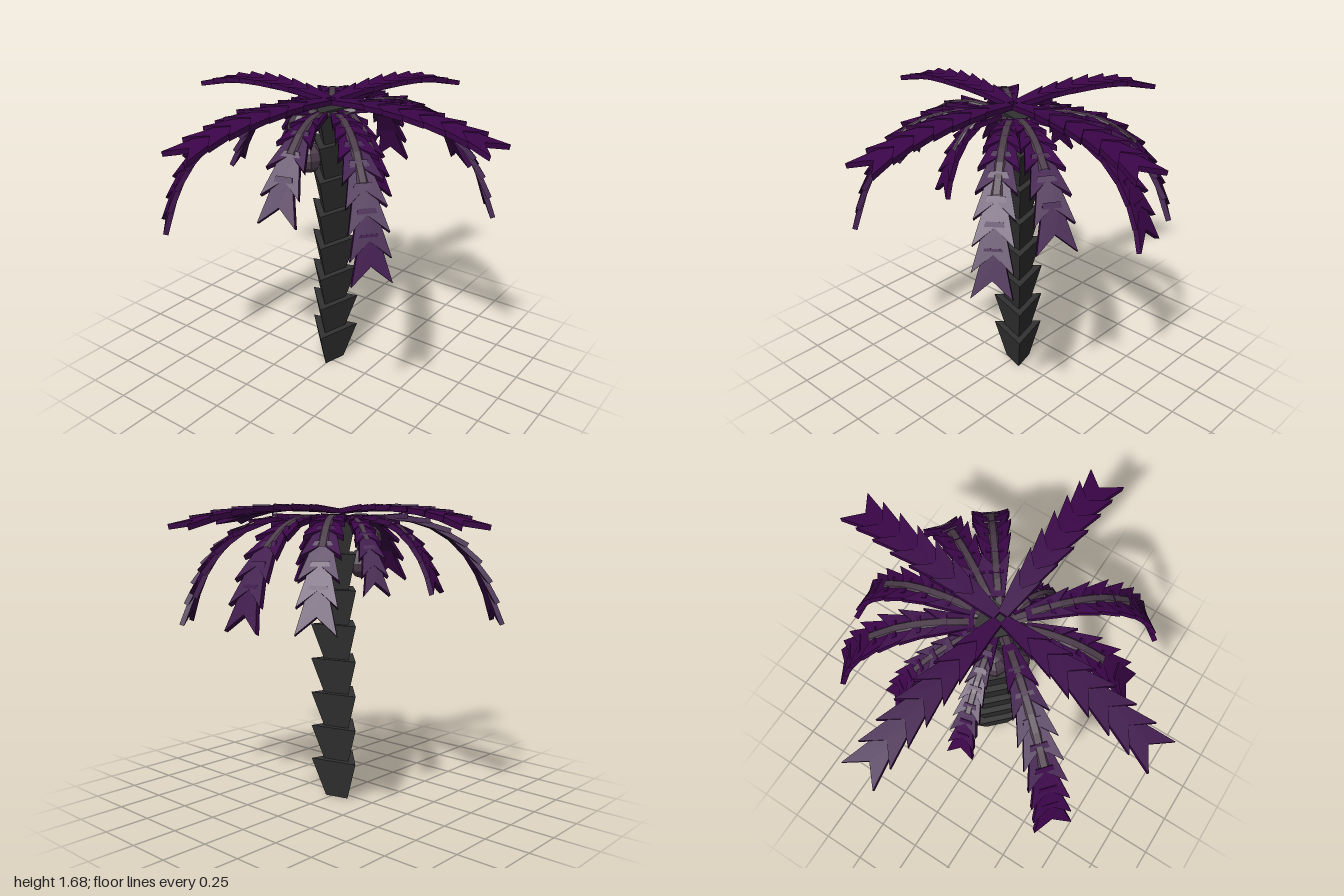
import * as THREE from 'three';

const leafMat = new THREE.MeshStandardMaterial({ color: 0x3b0549 });
leafMat.name = 'purple leaf';
const barkMat = new THREE.MeshStandardMaterial({ color: 0x323232 });
barkMat.name = 'dark bark';
const nutMat = new THREE.MeshStandardMaterial({ color: 0x4c3c4b });
nutMat.name = 'dusky husk';
barkMat.flatShading = nutMat.flatShading = true;

// One leaf plate: narrow at the base, flaring to a swallow-tail tip (along +y)
function leafGeometry(length, halfWidth, thickness) {
  const s = new THREE.Shape();
  s.moveTo(-halfWidth * 0.42, 0);
  s.lineTo(halfWidth * 0.42, 0);
  s.lineTo(halfWidth, length);
  s.lineTo(0, length * 0.63);
  s.lineTo(-halfWidth, length);
  s.closePath();
  const g = new THREE.ExtrudeGeometry(s, { depth: thickness, bevelEnabled: false });
  return g.translate(0, 0, -thickness);
}

// A frond: shingled leaf plates along an arching curve in the x-y plane, turned to its heading
function makeFrond(name, tipX, tipZ, points, leafLength, halfWidth, spacing, start) {
  const frond = new THREE.Group();
  frond.name = name;
  const curve = new THREE.CubicBezierCurve3(...points.map(([x, y]) => new THREE.Vector3(x, y, 0)));
  const total = curve.getLength();
  const run = total - leafLength - start;
  const count = Math.max(3, Math.round(run / spacing) + 1);
  const geo = leafGeometry(leafLength, halfWidth, 0.028);
  for (let i = 0; i < count; i++) {
    const s = start + (i / (count - 1)) * run;
    const base = curve.getPointAt(s / total);
    const end = curve.getPointAt(Math.min(1, (s + leafLength) / total));
    const dir = end.sub(base).normalize();
    const normal = new THREE.Vector3(-dir.y, dir.x, 0);
    const side = new THREE.Vector3().crossVectors(dir, normal);
    const leaf = new THREE.Mesh(geo, leafMat);
    leaf.name = 'leafPlate';
    leaf.applyMatrix4(new THREE.Matrix4().makeBasis(side, dir, normal).setPosition(base));
    leaf.rotateX(0.05);
    // Plates near the trunk are slimmer
    leaf.scale.x = Math.min(1, 0.65 + s * 1.2);
    frond.add(leaf);
  }
  frond.rotation.y = Math.atan2(-tipZ, tipX);
  return { frond, curve };
}

// Stem carrying the inner part of a frond
function makeStem(curve, radius) {
  const path = new THREE.CatmullRomCurve3([0, 0.2, 0.4, 0.58].map((u) => {
    const p = curve.getPointAt(u);
    return p.setY(p.y - 0.016);
  }));
  const stem = new THREE.Mesh(new THREE.TubeGeometry(path, 8, radius, 6).scale(1, 1, 1.6), nutMat);
  stem.name = 'frondStem';
  return stem;
}

export function createModel() {
  const tree = new THREE.Group();
  tree.name = 'palmTree';

  // Trunk: stacked three-sided segments flaring upward
  const trunk = new THREE.Group();
  trunk.name = 'trunk';
  const segGeo = new THREE.CylinderGeometry(0.163, 0.081, 0.225, 3, 1);
  segGeo.rotateY(Math.PI / 4);
  for (let i = 0; i < 8; i++) {
    const seg = new THREE.Mesh(segGeo, barkMat);
    seg.name = 'trunkSegment';
    seg.position.set(0.024, 0.1125 + i * 0.197, -0.022);
    trunk.add(seg);
  }
  tree.add(trunk);

  // Upper crown: four long, nearly level fronds
  for (const [x, z] of [[0.14, -0.985], [0.985, 0.15], [-0.025, 0.99], [-0.98, -0.165]]) {
    const r = Math.hypot(x, z);
    tree.add(makeFrond('upperFrond', x, z,
      [[0.02, 1.65], [r * 0.4, 1.68], [r * 0.74, 1.668], [r, 1.565]], 0.24, 0.1, 0.125, 0).frond);
  }

  // Lower crown: drooping fronds, listed by tip position x, y, z
  const drooping = [
    [-0.7, 1.0, -0.6], [0.7, 1.07, -0.49], [-0.575, 1.0, 0.655], [0.535, 1.0, 0.715],
    [0.69, 1.19, 0.44], [0.83, 1.06, -0.115], [-0.68, 1.21, 0.175],
    [-0.13, 1.21, -0.58], [0.315, 1.23, -0.535], [-0.13, 1.22, 0.41],
  ];
  for (const [x, y, z] of drooping) {
    const r = Math.hypot(x, z);
    const small = r < 0.65;
    const { frond, curve } = makeFrond('droopingFrond', x, z,
      [[0.05, 1.59], [r * 0.45, 1.68], [r * 0.87, small ? 1.54 : 1.58], [r, y]],
      small ? 0.18 : 0.24, small ? 0.068 : 0.1, small ? 0.1 : 0.13, small ? 0.03 : 0.08);
    frond.add(makeStem(curve, small ? 0.015 : 0.02));
    tree.add(frond);
  }

  // Nuts hanging against the trunk below the crown
  const nutGeo = new THREE.SphereGeometry(0.077, 8, 6);
  for (const [x, y, z] of [[-0.125, 1.345, -0.055], [-0.06, 1.48, -0.155]]) {
    const nut = new THREE.Mesh(nutGeo, nutMat);
    nut.name = 'nut';
    nut.position.set(x, y, z);
    nut.scale.y = 1.1;
    tree.add(nut);
  }
  return tree;
}
